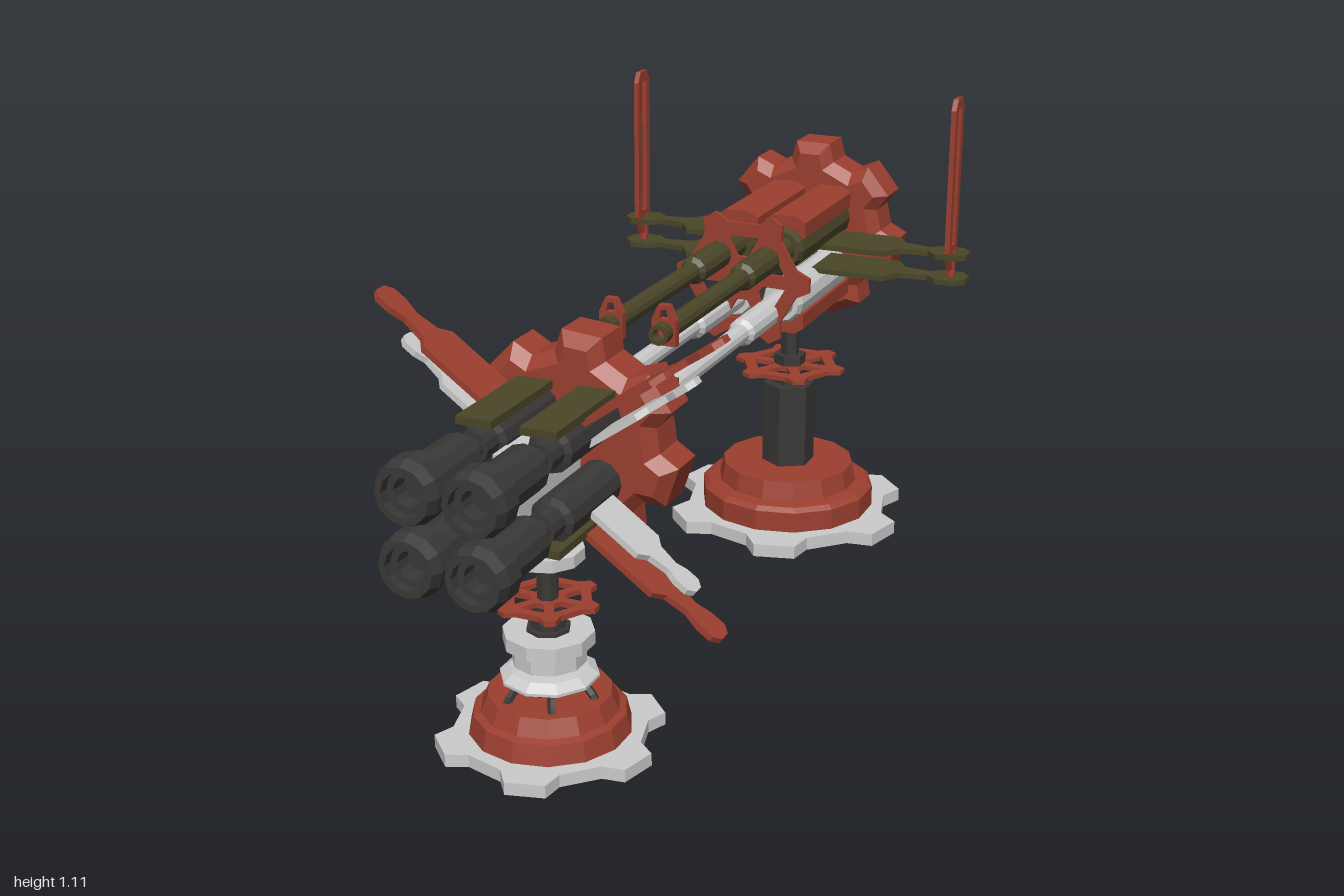
import * as THREE from 'three';

const mat = (color) => new THREE.MeshStandardMaterial({ color, flatShading: true, side: THREE.DoubleSide });
const RED = mat(0x9c3f2f), OLIVE = mat(0x4a4628), DARK = mat(0x3a3836), GREY = mat(0xcccccc);
const V = (x, y) => new THREE.Vector2(x, y);

function add(parent, name, geo, material, x = 0, y = 0, z = 0) {
  const m = new THREE.Mesh(geo, material);
  m.name = name;
  m.position.set(x, y, z);
  parent.add(m);
  return m;
}

// toothed outline: n trapezoid teeth of tip radius r over root radius ri
function gearShape(n, r, ri, tip, root, phase) {
  const pts = [];
  for (let i = 0; i < n; i++) {
    const a = phase + (i / n) * Math.PI * 2;
    for (const [u, v] of [[ri, -root], [r, -tip], [r, tip], [ri, root]])
      pts.push(V(u * Math.cos(a) - v * Math.sin(a), u * Math.sin(a) + v * Math.cos(a)));
  }
  return new THREE.Shape(pts);
}

// centred slab cut from a shape, optional bevel included in the depth
function slab(shape, depth, bevel = 0) {
  const g = new THREE.ExtrudeGeometry(shape, {
    depth: depth - 2 * bevel, bevelEnabled: bevel > 0, bevelThickness: bevel,
    bevelSize: bevel, bevelOffset: -bevel, bevelSegments: 1, curveSegments: 6,
  });
  return g.translate(0, 0, -depth / 2 + bevel);
}

// thin spoked wheel with six outer lugs
function spokedWheel(r, phase = 0) {
  const shape = gearShape(6, r, r * 0.8, r * 0.1, r * 0.2, phase);
  for (let i = 0; i < 6; i++) {
    const a = phase + ((i + 0.5) / 6) * Math.PI * 2;
    shape.holes.push(new THREE.Path([[0.32, -0.25], [0.65, -0.38], [0.65, 0.38], [0.32, 0.25]]
      .map(([k, d]) => V(r * k * Math.cos(a + d), r * k * Math.sin(a + d)))));
  }
  return slab(shape, 0.011);
}

// arm outline: wide root, narrow neck, knob end
function armShape(u0, u1, u2, u3, w, neck, knob) {
  const k = u3 - knob;
  const top = [[u0, w], [u1, w], [u1 + (u2 - u1) * 0.3, neck * 1.5], [u2, neck], [k - knob * 0.5, knob * 0.9],
    [k + knob * 0.5, knob * 0.9], [u3, knob * 0.4]];
  const low = top.map(([u, v]) => [u, -v]).reverse();
  return new THREE.Shape([...top, ...low].map(([u, v]) => V(u, v)));
}

const lathe = (pts, sides) => new THREE.LatheGeometry(pts.map(([r, y]) => V(r, y)), sides);
// lathe whose axis runs along +z
const barrel = (pts, sides = 12) => lathe(pts, sides).rotateX(Math.PI / 2);

// mirrored pair of the same mesh on both sides
function pair(parent, build) {
  for (const s of [1, -1]) {
    const g = new THREE.Group();
    g.name = s > 0 ? 'leftSide' : 'rightSide';
    g.scale.x = s;
    build(g);
    parent.add(g);
  }
}

function longGun() {
  const g = new THREE.Group();
  g.name = 'longBarrelTurret';
  const foot = slab(gearShape(6, 0.297, 0.24, 0.05, 0.075, Math.PI / 4), 0.032).rotateX(-Math.PI / 2);
  add(g, 'footPlate', foot, GREY, 0, 0.018);
  add(g, 'base', lathe([[0, 0.034], [0.218, 0.034], [0.218, 0.085], [0.205, 0.095], [0.175, 0.1],
    [0.165, 0.146], [0, 0.146]], 14), RED);

  // post and hand wheel
  add(g, 'post', lathe([[0, 0.145], [0.066, 0.145], [0.066, 0.355], [0.04, 0.355], [0.04, 0.43],
    [0.023, 0.43], [0.023, 0.6], [0, 0.6]], 6), DARK);
  add(g, 'handWheel', spokedWheel(0.14).rotateX(Math.PI / 2), RED, 0, 0.4);

  // rear gear shield and front spoked brace
  add(g, 'gearShield', slab(gearShape(7, 0.22, 0.175, 0.043, 0.055, Math.PI / 2), 0.135, 0.025), RED, 0, 0.72, -0.173);
  add(g, 'barrelBrace', spokedWheel(0.165), RED, 0, 0.715, 0.32);
  add(g, 'core', new THREE.BoxGeometry(0.06, 0.16, 0.3), DARK, 0, 0.7, 0.04);

  const cover = new THREE.Shape([V(-0.05, -0.03), V(-0.05, 0.006), V(-0.03, 0.02), V(0.03, 0.02), V(0.05, 0.006), V(0.05, -0.03)]);
  const sight = new THREE.Shape([V(-0.027, -0.03), V(0.027, -0.03), V(0.027, 0.025), V(0.012, 0.057), V(-0.012, 0.057), V(-0.027, 0.025)]);
  sight.holes.push(new THREE.Path([V(-0.01, 0.027), V(0.01, 0.027), V(0.006, 0.047), V(-0.006, 0.047)]));
  const post = new THREE.Shape([V(-0.012, 0), V(0.012, 0), V(0.033, 0.045), V(0.033, 0.385), V(0.018, 0.41),
    V(-0.018, 0.41), V(-0.033, 0.385), V(-0.033, 0.045)]);
  post.holes.push(new THREE.Path([V(-0.014, 0.06), V(0.014, 0.06), V(0.014, 0.385), V(-0.014, 0.385)]));

  pair(g, (s) => {
    // upper and lower barrels with sights and covers
    for (const [y, m, up] of [[0.765, OLIVE, 1], [0.635, GREY, -1]]) {
      add(s, 'barrel', barrel([[0, -0.11], [0.051, -0.11], [0.051, 0.215], [0.044, 0.23], [0.032, 0.23],
        [0.032, 0.47], [0.022, 0.48], [0.022, 0.92], [0.013, 0.92], [0.013, 0.87], [0, 0.87]]), m, 0.06, y);
      add(s, 'muzzleSight', slab(sight, 0.016).rotateZ(up > 0 ? 0 : Math.PI), RED, 0.06, y, 0.885);
      add(s, 'cover', slab(cover, 0.32).rotateZ(up > 0 ? 0 : Math.PI), RED, 0.06, y + up * 0.058, 0.05);
    }
    // twin side arms holding a slotted upright
    for (const y of [0.735, 0.675])
      add(s, 'sideArm', slab(armShape(0.04, 0.255, 0.35, 0.444, 0.07, 0.018, 0.046), 0.013).rotateX(-Math.PI / 2), OLIVE, 0, y);
    add(s, 'upright', slab(post, 0.012).rotateY(Math.PI / 2), RED, 0.403, 0.7, 0.008);
    add(s, 'uprightPin', new THREE.CylinderGeometry(0.011, 0.011, 0.08, 6), RED, 0.403, 0.705);
  });
  g.position.z = -0.7;
  return g;
}

function shortGun() {
  const g = new THREE.Group();
  g.name = 'shortBarrelTurret';
  const foot = slab(gearShape(6, 0.228, 0.185, 0.04, 0.058, Math.PI / 4), 0.027).rotateX(-Math.PI / 2);
  add(g, 'footPlate', foot, GREY, 0, 0.046);
  add(g, 'base', lathe([[0, 0.058], [0.165, 0.058], [0.155, 0.1], [0.14, 0.105], [0.125, 0.14], [0, 0.14]], 14), RED);

  // curved struts around the neck
  const curve = new THREE.QuadraticBezierCurve3(new THREE.Vector3(0.1, 0.135, 0),
    new THREE.Vector3(0.085, 0.17, 0), new THREE.Vector3(0.045, 0.175, 0));
  for (let i = 0; i < 6; i++)
    add(g, 'strut', new THREE.TubeGeometry(curve, 5, 0.009, 5), DARK).rotation.y = (i * Math.PI) / 3;
  add(g, 'neck', lathe([[0, 0.13], [0.045, 0.13], [0.045, 0.28], [0.036, 0.28], [0.036, 0.33],
    [0.022, 0.33], [0.022, 0.5], [0, 0.5]], 8), DARK);

  // stacked collars and hand wheel
  add(g, 'lowerCollar', lathe([[0.04, 0.168], [0.1, 0.172], [0.1, 0.178], [0.08, 0.192], [0.05, 0.195], [0.05, 0.205],
    [0.075, 0.205], [0.075, 0.238], [0.092, 0.244], [0.092, 0.272], [0.03, 0.272]], 10), GREY);
  add(g, 'handWheel', spokedWheel(0.107).rotateX(Math.PI / 2), RED, 0, 0.335);
  add(g, 'upperCollar', lathe([[0.02, 0.42], [0.075, 0.425], [0.075, 0.45], [0.045, 0.453], [0.045, 0.48],
    [0.065, 0.485], [0.065, 0.505], [0, 0.505]], 10), GREY);

  // rear gear shield and central spine
  add(g, 'gearShield', slab(gearShape(7, 0.22, 0.175, 0.043, 0.055, 1.48), 0.13, 0.025), RED, 0, 0.625, -0.165);
  add(g, 'spine', new THREE.BoxGeometry(0.05, 0.13, 0.26), GREY, 0, 0.625, 0.02);

  pair(g, (s) => {
    for (const [y, up] of [[0.695, 1], [0.556, -1]]) {
      // stepped barrel with a bored muzzle
      add(s, 'barrel', barrel([[0, -0.11], [0.046, -0.11], [0.046, 0.1], [0.032, 0.105], [0.032, 0.15], [0.022, 0.15],
        [0.022, 0.19], [0.048, 0.195], [0.048, 0.325], [0.064, 0.332], [0.064, 0.372], [0.055, 0.395],
        [0.042, 0.395], [0.042, 0.375], [0.028, 0.375], [0.028, 0.34], [0, 0.34]]), DARK, 0.067, y);
      add(s, 'barrelCover', new THREE.BoxGeometry(0.075, 0.016, 0.24), OLIVE, 0.067, y + up * 0.048, 0.025);
      // doubled diagonal fins
      const fins = new THREE.Group();
      fins.name = 'diagonalFins';
      fins.position.set(0, 0.615, -0.02);
      fins.scale.y = up;
      const red = slab(armShape(0.11, 0.29, 0.36, 0.443, 0.052, 0.018, 0.032), 0.013).rotateX(-Math.PI / 2);
      const grey = slab(armShape(0.09, 0.25, 0.31, 0.376, 0.045, 0.016, 0.028), 0.013).rotateX(-Math.PI / 2);
      add(fins, 'outerFin', red, RED, 0, 0.042).rotation.z = 0.615;
      add(fins, 'innerFin', grey, GREY, 0, -0.006).rotation.z = 0.615;
      s.add(fins);
    }
  });
  g.position.z = 0.605;
  return g;
}

export function createModel() {
  const model = new THREE.Group();
  model.name = 'twinTurrets';
  model.add(longGun(), shortGun());
  return model;
}
